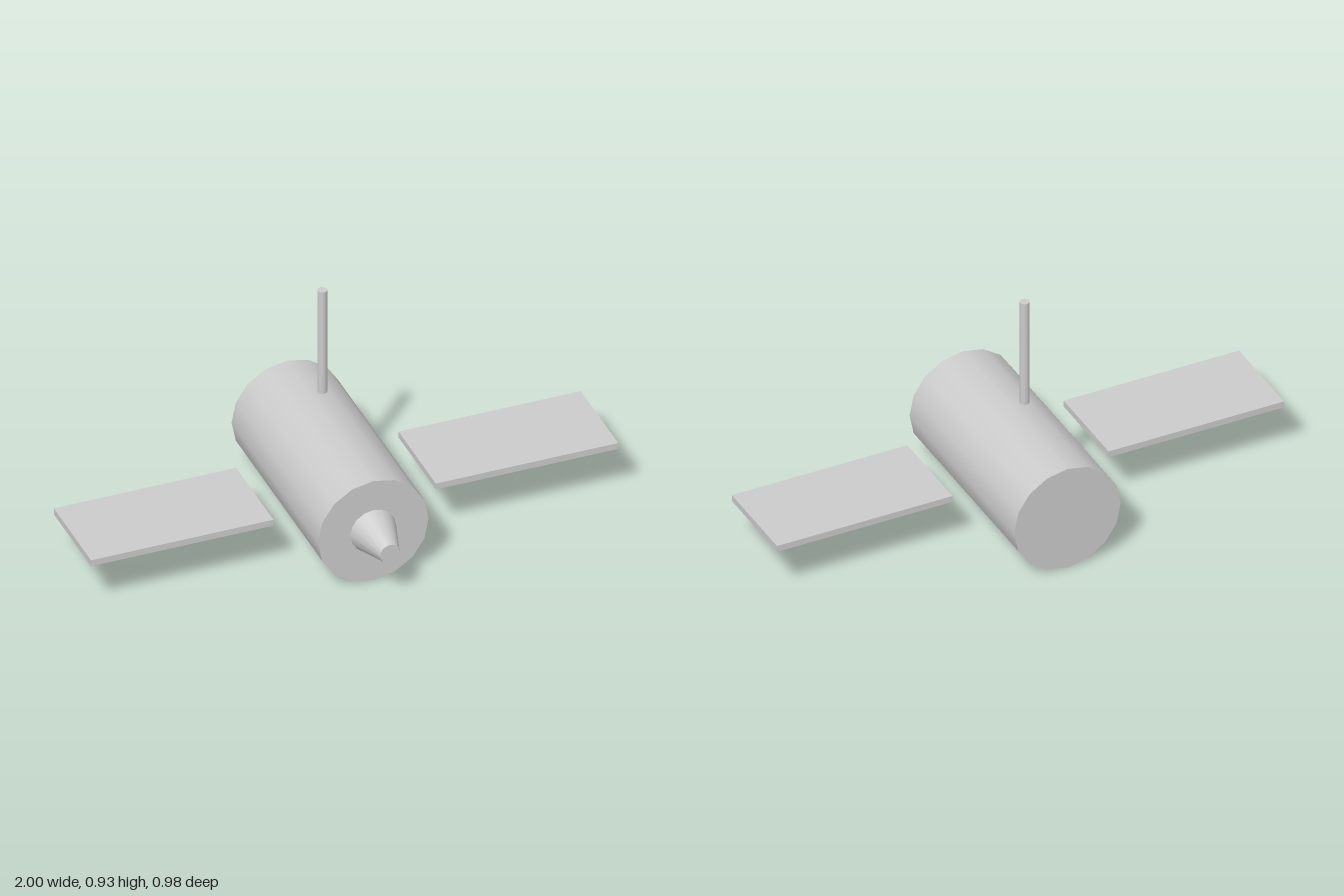
import * as THREE from 'three';

const AXIS_Y = 0.21; // height of the body's long axis

export function createModel() {
  const group = new THREE.Group();
  const material = new THREE.MeshStandardMaterial({ color: 0xcccccc });

  function add(name, geometry, x, y, z) {
    const mesh = new THREE.Mesh(geometry, material);
    mesh.name = name;
    mesh.position.set(x, y, z);
    group.add(mesh);
    return mesh;
  }

  // Cylindrical body lying along z
  add('body', new THREE.CylinderGeometry(0.21, 0.21, 0.82, 16).rotateX(Math.PI / 2), 0, AXIS_Y, -0.079);

  // Tapered nozzle on the front face, narrow end forward
  add('nozzle', new THREE.CylinderGeometry(0.037, 0.087, 0.158, 16).rotateX(Math.PI / 2), 0, AXIS_Y, 0.41);

  // Solar panels, floating clear of the body on both sides
  for (const [side, name] of [[1, 'leftPanel'], [-1, 'rightPanel']]) {
    add(name, new THREE.BoxGeometry(0.692, 0.025, 0.354), side * 0.654, AXIS_Y, -0.023);
  }

  // Antenna rod, floating above the body
  add('antenna', new THREE.CylinderGeometry(0.018, 0.018, 0.43, 12), 0, 0.715, -0.153);

  return group;
}
